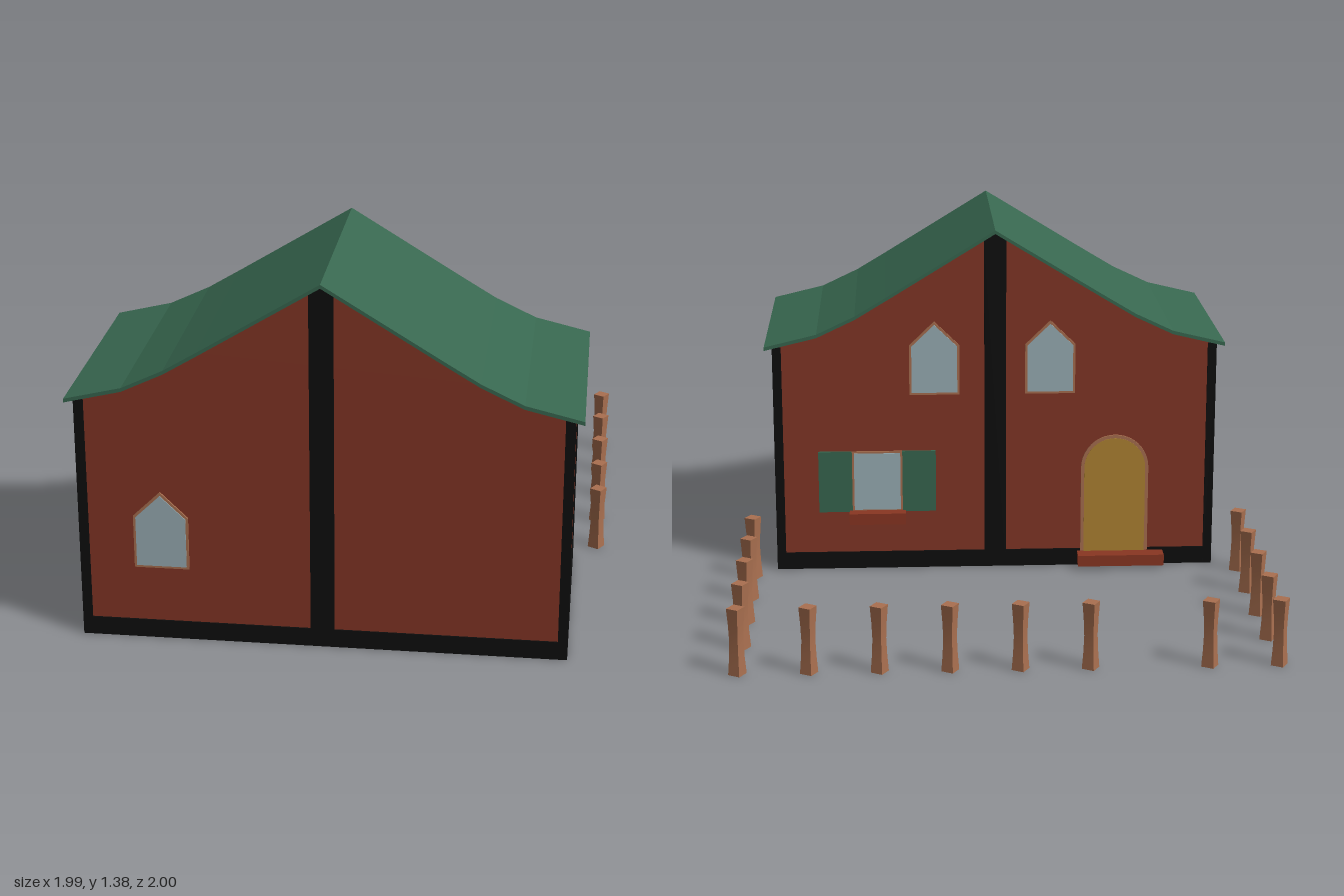
import * as THREE from 'three';

const mat = (name, color) => Object.assign(new THREE.MeshStandardMaterial({ color }), { name });

export function createModel() {
  const red = mat('wall red', 0x843626);
  const black = mat('trim black', 0x0e0e0e);
  const green = mat('roof green', 0x386850);
  const tan = mat('wood tan', 0xaa7050);
  const glass = mat('window glass', 0x9bb0b7);
  const ochre = mat('door ochre', 0xb08432);
  const sillRed = mat('sill red', 0x8a3622);

  const house = new THREE.Group();
  house.name = 'house';

  const add = (parent, name, geometry, material, x = 0, y = 0, z = 0) => {
    const mesh = new THREE.Mesh(geometry, material);
    mesh.name = name;
    mesh.position.set(x, y, z);
    parent.add(mesh);
    return mesh;
  };
  const box = (parent, name, material, x0, x1, y0, y1, z0, z1) =>
    add(parent, name, new THREE.BoxGeometry(x1 - x0, y1 - y0, z1 - z0), material,
      (x0 + x1) / 2, (y0 + y1) / 2, (z0 + z1) / 2);
  const polygon = (points) => new THREE.Shape(points.map(([x, y]) => new THREE.Vector2(x, y)));
  const extrude = (shape, depth) =>
    new THREE.ExtrudeGeometry(shape, { depth, bevelEnabled: false, curveSegments: 10 });

  // Swept roof line from ridge to eave, mirrored into a full profile running right to left
  const slope = [[0, 1.378], [0.43, 1.115], [0.55, 1.043], [0.7, 0.972], [0.905, 0.923]];
  const mirror = (half) => [...half.slice().reverse(), ...half.slice(1).map(([x, y]) => [-x, y])];
  const lower = (half, d) => half.map(([x, y]) => [x, y - d]);
  const roofLine = mirror(slope);
  add(house, 'roof', extrude(polygon([...roofLine, ...mirror(lower(slope, 0.014)).reverse()]), 0.9),
    green, 0, 0, 0.1);

  // Walls fill the space under the roof
  const wallHalf = lower([...slope.slice(0, 4), [0.87, 0.931]], 0.008);
  add(house, 'walls', extrude(polygon([[-0.87, 0], [0.87, 0], ...mirror(wallHalf)]), 0.86),
    red, 0, 0, 0.12);

  // Dark timber trim: base boards, corner posts and the central gable posts
  for (const [z0, z1] of [[0.115, 0.125], [0.975, 0.985]]) {
    box(house, 'baseBoard', black, -0.875, 0.875, 0.001, 0.07, z0, z1);
    add(house, 'gablePost', extrude(polygon([[-0.043, 0.001], [0.043, 0.001], [0.043, 1.34],
      [0, 1.367], [-0.043, 1.34]]), z1 - z0), black, 0, 0, z0);
  }
  for (const s of [-1, 1]) {
    const [x0, x1] = [s * 0.865, s * 0.875].sort((a, b) => a - b);
    box(house, 'sideBaseBoard', black, x0, x1, 0.001, 0.075, 0.115, 0.985);
    for (const [z0, z1] of [[0.115, 0.153], [0.947, 0.985]]) {
      const [p0, p1] = [s * 0.84, s * 0.875].sort((a, b) => a - b);
      box(house, 'cornerPost', black, p0, p1, 0.001, 0.918, z0, z1);
    }
  }

  // Fittings are built facing +z on the wall plane, then turned to their wall
  const fitting = (name, x, y, z, turn) => {
    const g = new THREE.Group();
    g.name = name;
    g.position.set(x, y, z);
    g.rotation.y = turn;
    house.add(g);
    return g;
  };

  // Pointed window, origin at the middle of its bottom edge
  const pointed = (w, h, top, e) => polygon([[-w, e], [w, e], [w, h], [0, top], [-w, h]]);
  const pointedWindow = (x, y, z, turn) => {
    const g = fitting('pointedWindow', x, y, z, turn);
    add(g, 'windowFrame', extrude(pointed(0.099, 0.2, 0.296, 0), 0.006), tan);
    add(g, 'windowPane', extrude(pointed(0.09, 0.196, 0.283, 0.009), 0.009), glass);
  };
  pointedWindow(-0.578, 0.28, 0.98, 0);
  pointedWindow(0.24, 0.72, 0.12, Math.PI);
  pointedWindow(-0.217, 0.72, 0.12, Math.PI);

  // Square window with a shutter on each side and a sill below
  const shutteredWindow = (x, y, z, turn, w, h, shutter, sillHalf, sillH, sillD) => {
    const g = fitting('shutteredWindow', x, y, z, turn);
    box(g, 'windowFrame', tan, -w, w, 0, h, 0, 0.006);
    box(g, 'windowPane', glass, -w + 0.008, w - 0.008, 0.008, h - 0.008, 0, 0.008);
    box(g, 'leftShutter', green, w, w + shutter, 0, h, 0, 0.009);
    box(g, 'rightShutter', green, -w - shutter, -w, 0, h, 0, 0.009);
    box(g, 'windowSill', sillRed, -sillHalf, sillHalf, -sillH, 0.005, 0, sillD);
  };
  shutteredWindow(0.47, 0.24, 0.12, Math.PI, 0.1, 0.25, 0.133, 0.112, 0.04, 0.055);
  shutteredWindow(-0.87, 0.73, 0.56, -Math.PI / 2, 0.065, 0.15, 0.085, 0.085, 0.04, 0.035);

  // Arched back door with its step
  const arch = (r, spring, bottom) => {
    const s = new THREE.Shape();
    s.moveTo(-r, bottom);
    s.lineTo(r, bottom);
    s.lineTo(r, spring);
    s.absarc(0, spring, r, 0, Math.PI, false);
    return s;
  };
  const door = fitting('door', -0.478, 0, 0.12, Math.PI);
  add(door, 'doorFrame', extrude(arch(0.135, 0.41, 0.03), 0.007), tan);
  add(door, 'doorLeaf', extrude(arch(0.122, 0.41, 0.03), 0.009), ochre);
  box(house, 'doorStep', sillRed, -0.675, -0.33, 0.015, 0.06, 0.05, 0.125);

  // Waisted square fence posts, leaving a gateway in the back row
  const postGeometry = new THREE.BoxGeometry(0.047, 0.25, 0.047, 1, 4, 1);
  const p = postGeometry.attributes.position;
  for (let i = 0; i < p.count; i++) {
    const k = 0.76 + 0.24 * Math.pow(Math.abs(p.getY(i)) / 0.125, 1.5);
    p.setXYZ(i, p.getX(i) * k, p.getY(i), p.getZ(i) * k);
  }
  postGeometry.computeVertexNormals();
  const fence = new THREE.Group();
  fence.name = 'fence';
  house.add(fence);
  const post = (x, z) => {
    add(fence, 'fencePost', postGeometry, tan, x, 0.125, z).rotation.y = -Math.PI / 6;
  };
  for (const x of [-0.967, -0.717, -0.29, -0.04, 0.21, 0.46, 0.71, 0.963]) post(x, -0.968);
  for (const z of [-0.718, -0.468, -0.218, 0.032]) {
    post(-0.967, z);
    post(0.963, z);
  }

  return house;
}
